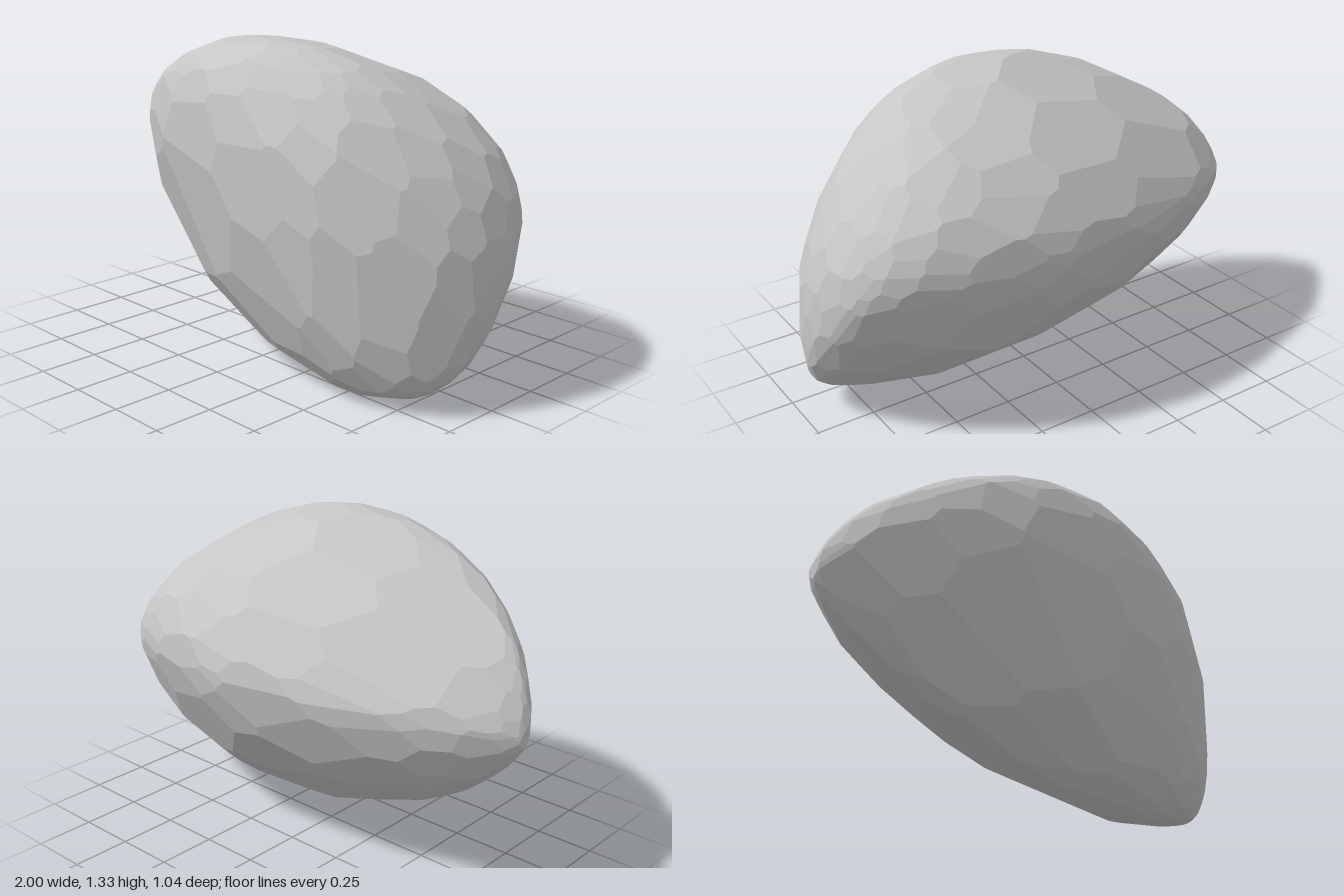
import * as THREE from 'three';
import { ConvexGeometry } from 'three/addons/geometries/ConvexGeometry.js';

// Cross-sections along x: x, top y, top z, bottom y, bottom z, front z, front y, back z, back y
const STATIONS = [
  [-1, 0.75, -0.05, 0.67, -0.06, -0.03, 0.72, -0.09, 0.71],
  [-0.95, 0.87, -0.01, 0.6, -0.05, 0.04, 0.77, -0.14, 0.73],
  [-0.85, 0.99, 0.05, 0.5, 0, 0.14, 0.85, -0.22, 0.74],
  [-0.65, 1.125, 0.16, 0.335, 0.06, 0.295, 0.91, -0.33, 0.75],
  [-0.33, 1.27, 0.24, 0.175, 0.12, 0.44, 0.92, -0.44, 0.77],
  [0, 1.325, 0.26, 0.06, 0.17, 0.505, 0.88, -0.505, 0.78],
  [0.2, 1.325, 0.24, 0.035, 0.19, 0.52, 0.83, -0.52, 0.77],
  [0.47, 1.255, 0.17, 0, 0.2, 0.505, 0.74, -0.48, 0.77],
  [0.67, 1.13, 0.07, 0.025, 0.21, 0.44, 0.62, -0.42, 0.76],
  [0.82, 0.985, 0, 0.065, 0.2, 0.34, 0.52, -0.34, 0.73],
  [0.92, 0.835, -0.03, 0.14, 0.15, 0.24, 0.46, -0.25, 0.66],
  [0.98, 0.67, -0.02, 0.26, 0.08, 0.12, 0.44, -0.12, 0.56],
  [1, 0.5, 0, 0.4, 0.02, 0.04, 0.44, -0.04, 0.46],
];
const CENTRE = new THREE.Vector3(0.1, 0.68, 0.05);
const FACETS = 270;

function seeded(seed) {
  return () => (seed = (seed * 16807) % 2147483647) / 2147483647;
}

// Smooth body as a cloud of points: each section is four arcs through its extremes
function bodyPoints() {
  const curves = [0, 3, 6].map((k) => new THREE.CatmullRomCurve3(
    STATIONS.map((s) => new THREE.Vector3(s[k], s[k + 1], s[k + 2])), false, 'catmullrom', 0.5));
  const points = [];
  for (let i = 0; i <= 48; i++) {
    const [x, yT, zT, yB, zB, zF, yF, zK, yK] = curves.flatMap((c) => c.getPoint(i / 48).toArray());
    // The last value sets the fullness of the arc: 1 is an ellipse, higher is flatter
    const arcs = [
      [zT, yT, zF, yF, 0.88 + 0.12 * x], [zB, yB, zF, yF, 1.13 - 0.4 * x],
      [zB, yB, zK, yK, 1.26 + 0.2 * x], [zT, yT, zK, yK, 1.24 - 0.35 * x],
    ];
    for (const [z0, y0, z1, y1, power] of arcs) {
      for (let j = 0; j <= 12; j++) {
        const a = (j / 12) * Math.PI / 2;
        const s = Math.sin(a) ** power;
        const c = Math.max(0, Math.cos(a)) ** power;
        points.push(new THREE.Vector3(x, y1 + (y0 - y1) * c, z0 + (z1 - z0) * s).sub(CENTRE));
      }
    }
  }
  return points;
}

// Scattered cutting directions, plus the six axes that set the overall size
function cutDirections() {
  const random = seeded(41);
  const jitter = () => (random() - 0.5) * 0.13;
  const directions = [];
  for (const s of [-1, 1]) {
    directions.push(new THREE.Vector3(s, 0, 0), new THREE.Vector3(0, s, 0), new THREE.Vector3(0, 0, s));
  }
  for (let i = 0; i < FACETS; i++) {
    const y = 1 - (2 * (i + 0.5)) / FACETS;
    const r = Math.sqrt(1 - y * y);
    const a = i * 2.39996;
    directions.push(new THREE.Vector3(
      Math.cos(a) * r + jitter(), y + jitter(), Math.sin(a) * r + jitter()).normalize());
  }
  return directions;
}

// Cut the body with flat planes to get polygonal facets
function facetedStone() {
  const cloud = bodyPoints();
  const duals = cutDirections().map((n) =>
    n.divideScalar(cloud.reduce((m, p) => Math.max(m, p.dot(n)), 0)));

  // Each triangle of the dual hull is a corner where three planes meet
  const pos = new ConvexGeometry(duals).getAttribute('position');
  const corners = [];
  const tri = new THREE.Triangle();
  const plane = new THREE.Plane();
  for (let i = 0; i < pos.count; i += 3) {
    tri.setFromAttributeAndIndices(pos, i, i + 1, i + 2);
    tri.getPlane(plane);
    corners.push(plane.normal.clone().divideScalar(-plane.constant).add(CENTRE));
  }
  return new ConvexGeometry(corners);
}

export function createModel() {
  const stoneGrey = new THREE.MeshStandardMaterial({ color: 0xc6c6c6 });
  stoneGrey.name = 'stone grey';
  const stone = new THREE.Mesh(facetedStone(), stoneGrey);
  stone.name = 'stone';
  const group = new THREE.Group();
  group.name = 'rock';
  group.add(stone);
  return group;
}
